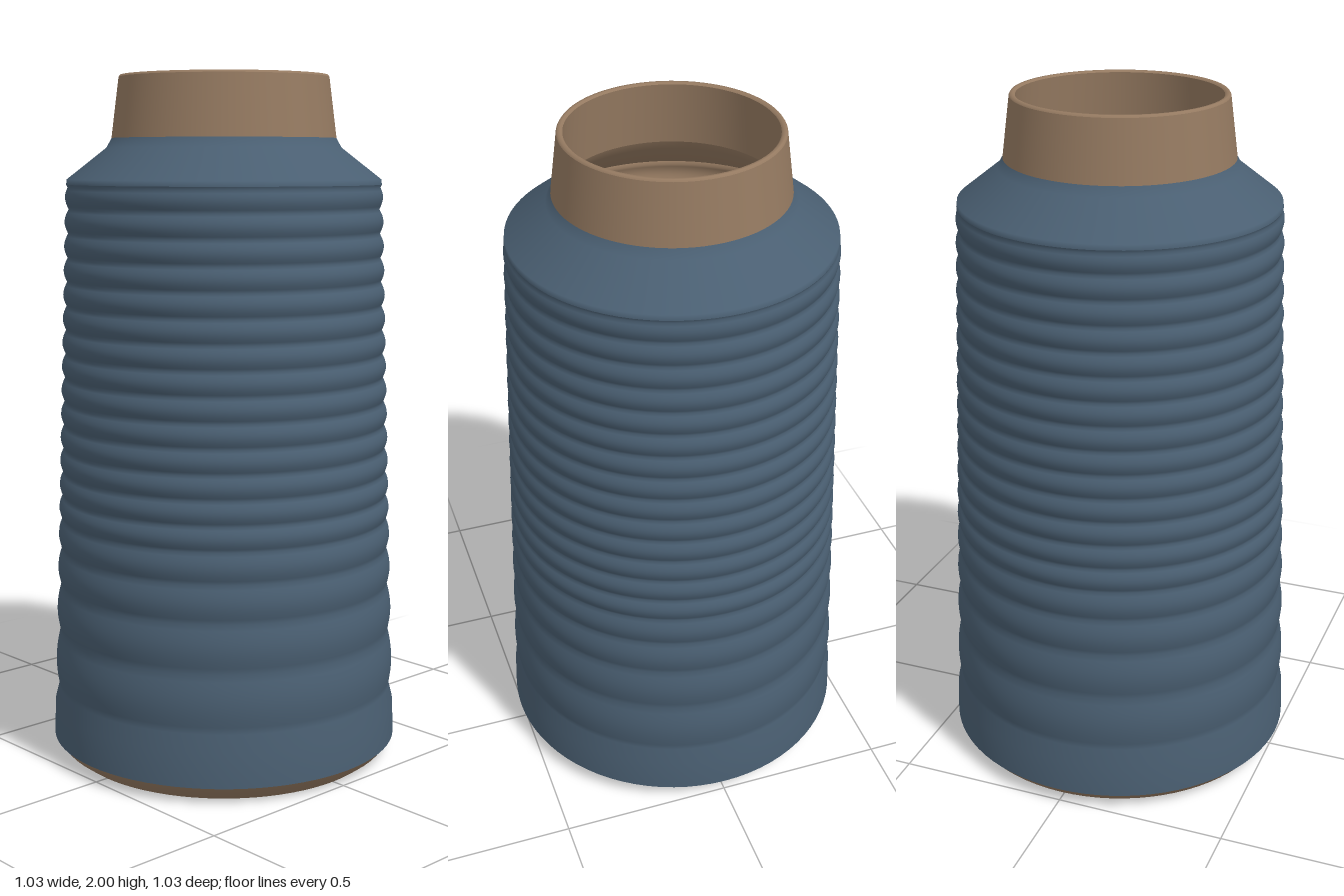
import * as THREE from 'three';

const blue = new THREE.MeshStandardMaterial({ color: 0x4a5f72 });
blue.name = 'blue glaze';
const clay = new THREE.MeshStandardMaterial({ color: 0x957a61 });
clay.name = 'bare clay';

// Groove heights: wide ribs near the foot, narrowing to an even pitch
const grooves = [0.2, 0.37, 0.51, 0.62, 0.71];
const EVEN = 14;
for (let i = 1; i <= EVEN; i++) grooves.push(0.71 + (1.69 - 0.71) * i / EVEN);

// Tapered wall with rounded ribs between the grooves
function ribbedWall(offset, bottom) {
  const taper = y => 0.517 - 0.034 * y - offset;
  const pts = [[taper(0.05), bottom], [taper(0.15), 0.15]];
  for (let i = 0; i < grooves.length - 1; i++) {
    const a = grooves[i], b = grooves[i + 1];
    for (let k = 0; k < 8; k++) {
      const t = k / 8, y = a + (b - a) * t;
      pts.push([taper(y) - 0.011 * (1 - Math.sin(Math.PI * t)), y]);
    }
  }
  pts.push([0.457 - offset, 1.69]);
  return pts;
}

export function createModel() {
  const vase = new THREE.Group();
  vase.name = 'vase';

  // Each smooth run is its own lathe so the edges between runs stay sharp
  const turn = (name, pts, material) => {
    const geo = new THREE.LatheGeometry(pts.map(([r, y]) => new THREE.Vector2(r, y)), 80);
    const mesh = new THREE.Mesh(geo, material);
    mesh.name = name;
    vase.add(mesh);
  };

  // Foot
  turn('footUnderside', [[0, 0], [0.46, 0]], clay);
  turn('footBevel', [[0.46, 0], [0.49, 0.022], [0.513, 0.05]], clay);

  // Glazed body
  turn('ribbedBody', ribbedWall(0, 0.05), blue);
  turn('shoulder', [[0.457, 1.69], [0.455, 1.705], [0.34, 1.795], [0.323, 1.825]], blue);

  // Neck and rim
  turn('neck', [[0.325, 1.822], [0.303, 1.994]], clay);
  turn('rim', [[0.303, 1.994], [0.299, 2], [0.291, 2], [0.286, 1.995]], clay);

  // Hollow inside
  turn('neckInside', [[0.286, 1.995], [0.305, 1.815]], clay);
  turn('shoulderInside', [[0.305, 1.815], [0.322, 1.785], [0.437, 1.69]], clay);
  turn('wallInside', ribbedWall(0.02, 0.06).reverse(), clay);
  turn('floorInside', [[0.4953, 0.06], [0.46, 0.03], [0, 0.03]], clay);

  return vase;
}
